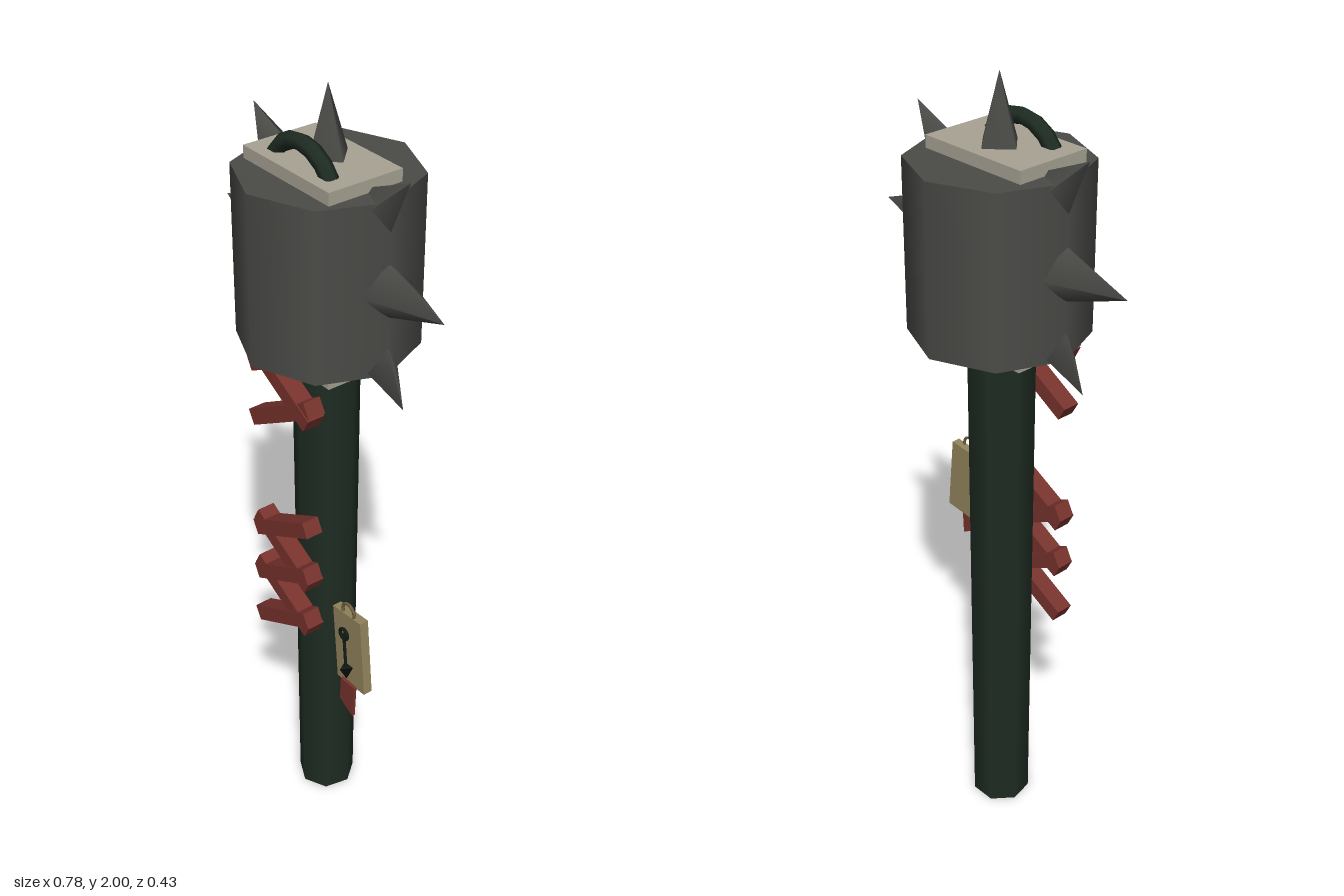
import * as THREE from 'three';

const mat = (name, color, side = THREE.FrontSide) => {
  const m = new THREE.MeshStandardMaterial({ color, side });
  m.name = name;
  return m;
};

export function createModel() {
  const iron = mat('dark iron', 0x4b4b48);
  const stone = mat('pale stone', 0xa8a394);
  const wood = mat('dark green wood', 0x1e2c22);
  const cord = mat('red cord', 0x78332d);
  const board = mat('tan board', 0x93845c);
  const brass = mat('dull brass', 0x6f6242);
  const ink = mat('black green ink', 0x111b15);

  const model = new THREE.Group();
  model.name = 'spikedMace';
  const add = (name, geometry, material, x, y, z, parent = model) => {
    const mesh = new THREE.Mesh(geometry, material);
    mesh.name = name;
    mesh.position.set(x, y, z);
    parent.add(mesh);
    return mesh;
  };

  // Seven-sided shaft, slightly wider at the top
  add('shaft', new THREE.CylinderGeometry(0.082, 0.075, 1.4, 7), wood, 0, 0.7, 0.002);

  // Octagonal head with a square core showing above and below
  add('head', new THREE.CylinderGeometry(0.213, 0.213, 0.415, 8), iron, 0, 1.6025, -0.003);
  add('core', new THREE.BoxGeometry(0.3, 0.47, 0.195), stone, 0, 1.605, 0.0135);

  // Four-sided spikes, placed by tip and tilt
  const spike = (name, tipX, tipY, tilt, r, h) => {
    const mesh = add(name, new THREE.ConeGeometry(r, h, 4), iron,
      tipX + Math.sin(tilt) * h / 2, tipY - Math.cos(tilt) * h / 2, -0.003);
    mesh.rotation.z = tilt;
  };
  spike('topSpike', 0, 2, 0, 0.058, 0.175);
  for (const s of [-1, 1]) {
    spike('sideSpike', s * 0.39, 1.604, -s * Math.PI / 2, 0.066, 0.185);
    spike('upperSpike', s * 0.27, 1.873, -s * Math.PI / 4, 0.063, 0.16);
    spike('lowerSpike', s * 0.27, 1.333, -s * Math.PI * 3 / 4, 0.063, 0.16);
  }

  // Arched carrying loop on top
  const arc = 2.0;
  const loop = add('topLoop', new THREE.TorusGeometry(0.115, 0.02, 6, 6, arc), wood, 0, 1.77, 0.065);
  loop.rotation.z = (Math.PI - arc) / 2;

  // Zigzag lashings in front of the shaft: [height, tilt, length]
  const bars = [
    [0.63, 0.49, 0.23], [0.7, -0.49, 0.23], [0.77, 0.49, 0.23],
    [0.84, -0.49, 0.23], [0.91, 0.49, 0.23],
    [1.24, 0.53, 0.25], [1.325, -0.51, 0.25], [1.385, 0.49, 0.25],
  ];
  bars.forEach(([y, tilt, length], i) => {
    const bar = add('lashing', new THREE.BoxGeometry(length, 0.04, 0.046), cord,
      0, y, i % 2 ? 0.119 : 0.122);
    bar.rotation.z = tilt;
  });

  // Hanging tag, leaning slightly
  const tag = new THREE.Group();
  tag.name = 'tag';
  tag.position.set(0.32, 0.767, 0);
  tag.rotation.z = 0.092;
  model.add(tag);
  add('tagBoard', new THREE.BoxGeometry(0.1, 0.205, 0.023), board, 0, 0, 0.1715, tag);
  add('tagRing', new THREE.TorusGeometry(0.021, 0.004, 6, 14), brass, 0.002, 0.11, 0.178, tag);

  // Arrow charm on the tag
  add('charmRing', new THREE.TorusGeometry(0.014, 0.004, 6, 12), ink, 0, 0.053, 0.194, tag);
  add('charmShaft', new THREE.CylinderGeometry(0.004, 0.004, 0.1, 6), ink, 0, 0.005, 0.194, tag);
  const tip = add('charmTip', new THREE.ConeGeometry(0.018, 0.036, 3), ink, 0, -0.06, 0.194, tag);
  tip.scale.y = -1;

  // Ribbon with a slanted end below the tag
  const outline = new THREE.Shape([
    new THREE.Vector2(0.302, 0.672), new THREE.Vector2(0.298, 0.605),
    new THREE.Vector2(0.346, 0.58), new THREE.Vector2(0.351, 0.672),
  ]);
  add('ribbon', new THREE.ExtrudeGeometry(outline, { depth: 0.008, bevelEnabled: false }),
    cord, 0, 0, 0.183);

  return model;
}
